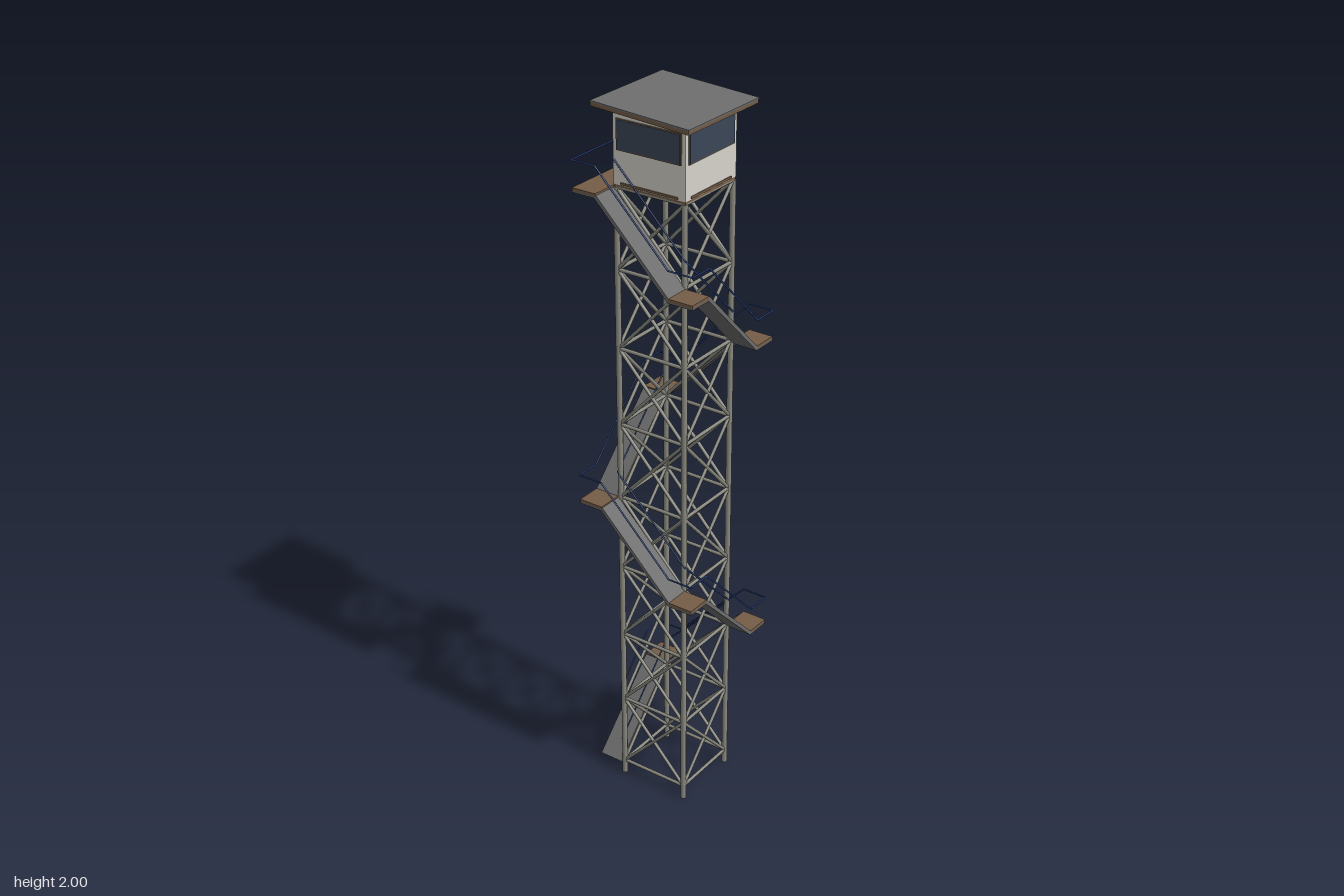
import * as THREE from 'three';

const mat = (name, color) => Object.assign(new THREE.MeshStandardMaterial({ color }), { name });

export function createModel() {
  const steel = mat('galvanised steel', 0x8b8b82);
  const stair = mat('stair grey', 0x6c6c6c);
  const wood = mat('brown timber', 0x755d47);
  const rail = mat('blue railing', 0x27407a);
  const wall = mat('cream wall', 0xd6d3ca);
  const glass = mat('dark window', 0x3a4657);
  const roofGrey = mat('roof felt', 0x6e6e6e);

  const model = new THREE.Group();
  model.name = 'lookoutTower';

  const group = (name, parent = model) => {
    const g = new THREE.Group();
    g.name = name;
    parent.add(g);
    return g;
  };
  const box = (name, parent, m, size, pos) => {
    const mesh = new THREE.Mesh(new THREE.BoxGeometry(...size), m);
    mesh.name = name;
    mesh.position.set(...pos);
    parent.add(mesh);
    return mesh;
  };
  // Round bar between two points
  const bar = (name, parent, m, a, b, r, sides = 8) => {
    const p = new THREE.Vector3(...a), q = new THREE.Vector3(...b);
    const d = q.clone().sub(p);
    const mesh = new THREE.Mesh(new THREE.CylinderGeometry(r, r, d.length(), sides), m);
    mesh.name = name;
    mesh.position.copy(p).add(q).multiplyScalar(0.5);
    mesh.quaternion.setFromUnitVectors(new THREE.Vector3(0, 1, 0), d.normalize());
    parent.add(mesh);
  };

  const base = 0.04, bays = 8, top = 1.78, rise = (top - base) / bays;
  const leg = 0.102;

  // Lattice frame: four identical sides, each with one leg, rings and cross braces
  const frame = group('latticeFrame');
  for (let s = 0; s < 4; s++) {
    const side = group('frameSide', frame);
    side.rotation.y = -s * Math.PI / 2;
    bar('leg', side, steel, [-leg, 0, -leg], [-leg, top, -leg], 0.008);
    for (let i = 0; i <= bays; i++) {
      const y = base + i * rise;
      bar('ringBeam', side, steel, [-leg, y, -leg], [leg, y, -leg], 0.005, 6);
      if (i === bays) continue;
      bar('brace', side, steel, [-leg, y, -leg], [leg, y + rise, -leg], 0.005, 6);
      bar('brace', side, steel, [leg, y, -leg], [-leg, y + rise, -leg], 0.005, 6);
    }
  }

  // Stair flights wind around the frame, one bay per side
  const inner = 0.108, outer = 0.179, mid = (inner + outer) / 2, width = outer - inner;
  const railUp = 0.075, railR = 0.0024;
  const stairs = group('stairs');
  for (let i = 0; i < bays; i++) {
    const y = base + i * rise;
    const f = group('flight', stairs);
    f.rotation.y = -i * Math.PI / 2;
    const slab = box('stairSlab', f, stair, [Math.hypot(2 * inner, rise) + 0.004, 0.01, width],
      [0, y + rise / 2 - 0.005, -mid]);
    slab.rotation.z = Math.atan2(rise, 2 * inner);
    for (const z of [-inner, -outer]) {
      bar('handrail', f, rail, [-inner, y + railUp, z], [inner, y + rise + railUp, z], railR, 6);
    }
    if (i === bays - 1) continue;
    // Corner landing with rails on its two outer edges
    const ly = y + rise;
    box('landingDeck', f, wood, [width, 0.008, width], [mid, ly - 0.002, -mid]);
    box('landingPlate', f, stair, [width, 0.004, width], [mid, ly - 0.008, -mid]);
    bar('landingRail', f, rail, [inner, ly + railUp, -outer], [outer, ly + railUp, -outer], railR, 6);
    bar('landingRail', f, rail, [outer, ly + railUp, -outer], [outer, ly + railUp, -inner], railR, 6);
  }

  // Balcony behind the cabin
  const balcony = group('balcony');
  const bx = (inner - outer) / 2, bw = inner + outer, by = top + railUp;
  box('balconyDeck', balcony, wood, [bw, 0.008, width], [bx, top, -mid]);
  box('balconyPlate', balcony, stair, [bw, 0.004, width], [bx, top - 0.006, -mid]);
  bar('balconyRail', balcony, rail, [-outer, by, -inner], [-outer, by, -outer], railR, 6);
  bar('balconyRail', balcony, rail, [-outer, by, -outer], [0.105, by, -outer], railR, 6);
  bar('balconyRail', balcony, rail, [0.105, by, -outer], [0.105, by, -inner], railR, 6);

  // Cabin
  const cabin = group('cabin');
  const half = 0.107;
  box('cabinFloor', cabin, wood, [0.212, 0.01, 0.212], [0, 1.785, 0]);
  box('cabinWalls', cabin, wall, [2 * half, 0.196, 2 * half], [0, 1.886, 0]);
  for (let s = 0; s < 4; s++) {
    const side = group('cabinSide', cabin);
    side.rotation.y = s * Math.PI / 2;
    const back = s === 2;
    const w = back ? 0.108 : 0.186, x = back ? 0.04 : 0;
    box('windowFrame', side, wood, [w + 0.006, 0.08, 0.003], [x, 1.917, half + 0.001]);
    box('windowPane', side, glass, [w, 0.074, 0.004], [x, 1.917, half + 0.002]);
    if (back) box('door', side, wood, [0.08, 0.178, 0.005], [-0.063, 1.877, half + 0.002]);
    else box('skirting', side, wood, [0.17, 0.006, 0.003], [0, 1.793, half + 0.001]);
  }

  // Gently sloping roof, higher at the back
  const roof = group('roof');
  roof.position.y = 1.986;
  roof.rotation.set(0.05, -0.008, 0);
  box('roofBoards', roof, wood, [0.288, 0.01, 0.288], [0, -0.002, 0]);
  box('roofCover', roof, roofGrey, [0.29, 0.004, 0.29], [0, 0.005, 0]);

  return model;
}
